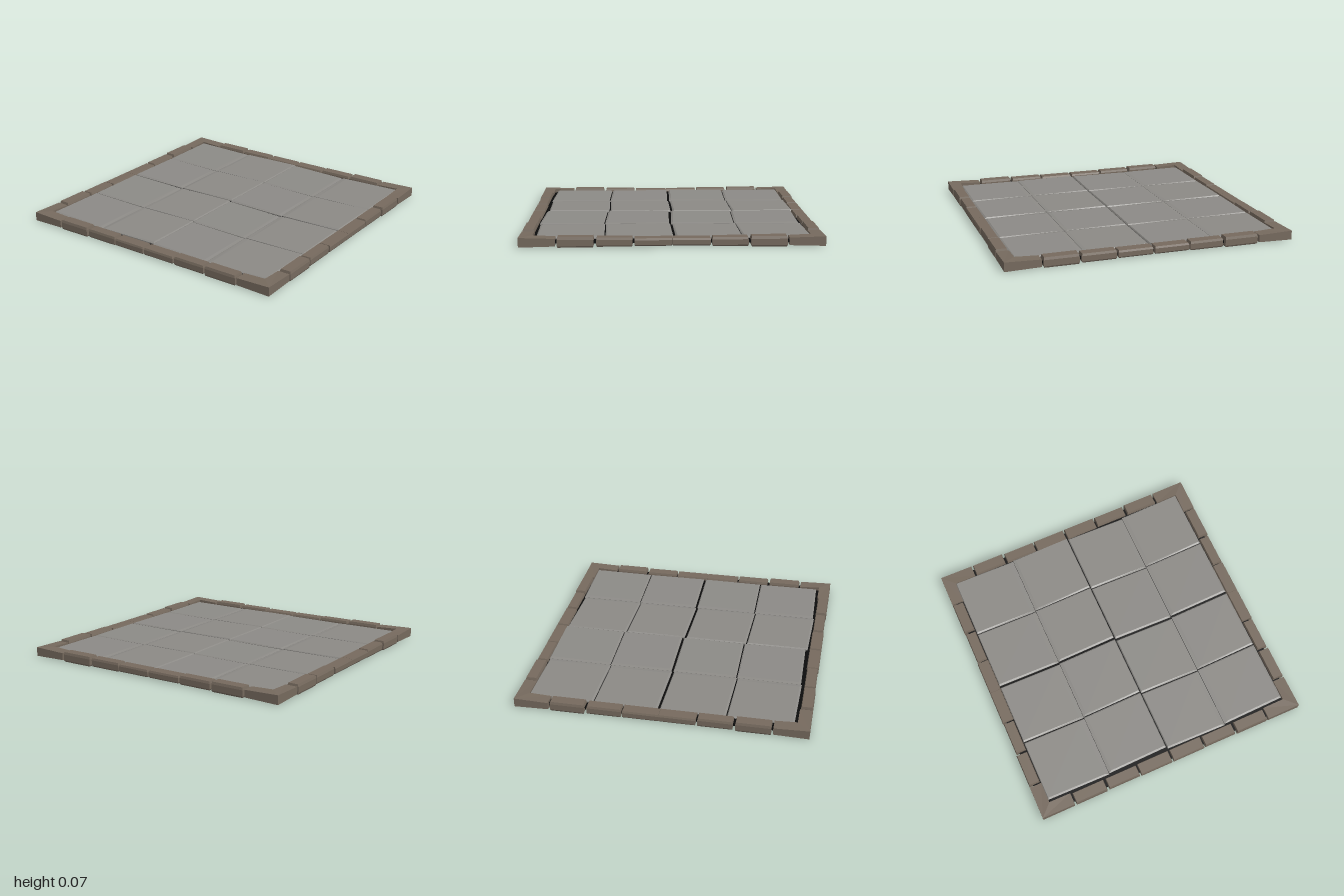
import * as THREE from 'three';

const HX = 0.997, HZ = 0.99; // half extents of the border
const paint = (color) => new THREE.MeshStandardMaterial({ color, flatShading: true });

// Chamfered block: top and bottom rings are inset; inset = [left, right, back, front]
function block(x0, x1, y0, y1, z0, z1, topInset, bottomInset = [0, 0, 0, 0], tilt = [0, 0]) {
  const geo = new THREE.BoxGeometry(1, 1, 1, 1, 3, 1);
  const p = geo.attributes.position;
  const h = y1 - y0;
  const levels = [y0, y0 + h * 0.15, y1 - h * 0.25, y1];
  for (let i = 0; i < p.count; i++) {
    const sx = Math.sign(p.getX(i)), sz = Math.sign(p.getZ(i));
    const ring = Math.round((p.getY(i) + 0.5) * 3);
    const inset = ring === 3 ? topInset : ring === 0 ? bottomInset : [0, 0, 0, 0];
    const x = sx < 0 ? x0 + inset[0] : x1 - inset[1];
    const z = sz < 0 ? z0 + inset[2] : z1 - inset[3];
    const lean = ring === 3 ? tilt[0] * sx + tilt[1] * sz : 0;
    p.setXYZ(i, x, levels[ring] + lean, z);
  }
  const flat = geo.toNonIndexed();
  flat.computeVertexNormals();
  return flat;
}

// L-shaped corner stone for the +x +z corner, rising towards its outer tip
function cornerStone() {
  const t = 0.085, end = 0.755;
  const shape = new THREE.Shape([
    [HX, -HZ], [HX, -end], [HX - t, -end], [HX - t, t - HZ], [end, t - HZ], [end, -HZ],
  ].map(([x, y]) => new THREE.Vector2(x, y)));
  const geo = new THREE.ExtrudeGeometry(shape, { depth: 0.05, bevelEnabled: false });
  geo.rotateX(-Math.PI / 2);
  const p = geo.attributes.position;
  for (let i = 0; i < p.count; i++) {
    const outer = p.getX(i) > 0.9 && p.getZ(i) > 0.9;
    const top = p.getY(i) > 0.02;
    p.setY(i, top ? (outer ? 0.067 : 0.06) : (outer ? 0.004 : 0.01));
  }
  geo.computeVertexNormals();
  return geo;
}

export function createModel() {
  const model = new THREE.Group();
  const stone = paint(0x8c8a86), brick = paint(0x766a5e), dark = paint(0x0c0c0c);
  const add = (parent, name, geo, mat) => {
    const mesh = new THREE.Mesh(geo, mat);
    mesh.name = name;
    parent.add(mesh);
    return mesh;
  };

  // Dark bedding slab seen in the joints and from below
  const slab = add(model, 'beddingSlab', new THREE.BoxGeometry(1.94, 0.016, 1.93), dark);
  slab.position.y = 0.032;

  // Paving tiles: four columns with wide chamfers facing every other joint
  const tiles = new THREE.Group();
  tiles.name = 'pavingTiles';
  model.add(tiles);
  const columns = [
    { x: [-0.912, -0.45], inset: [0.005, 0.03], shift: 0, skew: 0.004 },
    { x: [-0.448, -0.003], inset: [0.022, 0.006], shift: -0.006, skew: -0.004 },
    { x: [0.004, 0.45], inset: [0.006, 0.024], shift: 0.01, skew: 0.005 },
    { x: [0.453, 0.912], inset: [0.03, 0.012], shift: 0.002, skew: -0.005 },
  ];
  const rows = [[-0.908, -0.463], [-0.457, -0.022], [-0.006, 0.436], [0.444, 0.887]];
  columns.forEach((c, i) => rows.forEach(([z0, z1], j) => {
    const tilt = [(i % 2 ? 1 : -1) * 0.002, (j % 2 ? 1 : -1) * 0.001];
    const geo = block(c.x[0], c.x[1], 0.03, 0.052, z0 + c.shift, z1 + c.shift,
      [...c.inset, 0.007, 0.012], undefined, tilt);
    // Skew each tile slightly so the joints run uneven
    const p = geo.attributes.position, mid = (c.x[0] + c.x[1]) / 2;
    for (let k = 0; k < p.count; k++) {
      p.setZ(k, p.getZ(k) + c.skew * (p.getX(k) - mid) / 0.225);
    }
    geo.computeVertexNormals();
    add(tiles, 'pavingTile', geo, stone);
  }));

  // Border bricks: three sizes mirrored about the middle of each side
  const border = new THREE.Group();
  border.name = 'border';
  model.add(border);
  const sizes = [
    { from: 0.006, to: 0.245, y: [0.01, 0.06], width: 0.084, out: 0 },
    { from: 0.256, to: 0.49, y: [0.005, 0.065], width: 0.076, out: 0.004 },
    { from: 0.507, to: 0.742, y: [0.001, 0.07], width: 0.08, out: 0 },
  ];
  const top = [0.004, 0.004, 0.005, 0.005], bottom = [0.005, 0.005, 0.005, 0.005];
  for (const side of [-1, 1]) {
    for (const half of [-1, 1]) {
      for (const s of sizes) {
        const [a, b] = half > 0 ? [s.from, s.to] : [-s.to, -s.from];
        const span = (edge) => {
          const outer = edge - s.out, inner = outer - s.width;
          return side > 0 ? [inner, outer] : [-outer, -inner];
        };
        const [z0, z1] = span(HZ), [x0, x1] = span(HX);
        add(border, side > 0 ? 'frontBrick' : 'backBrick',
          block(a, b, ...s.y, z0, z1, top, bottom), brick);
        // The two middle bricks of the left and right sides butt together
        const e = s === sizes[0] ? 0.005 : 0;
        const [c, d] = half > 0 ? [a - e, b] : [a, b + e];
        add(border, side > 0 ? 'leftBrick' : 'rightBrick',
          block(x0, x1, ...s.y, c, d, [0.005, 0.005, e ? 0 : 0.004, e ? 0 : 0.004], bottom), brick);
      }
      // Corner stones, mirrored into all four corners
      add(border, 'cornerStone', cornerStone(), brick).scale.set(side, 1, half);
    }
  }
  return model;
}
